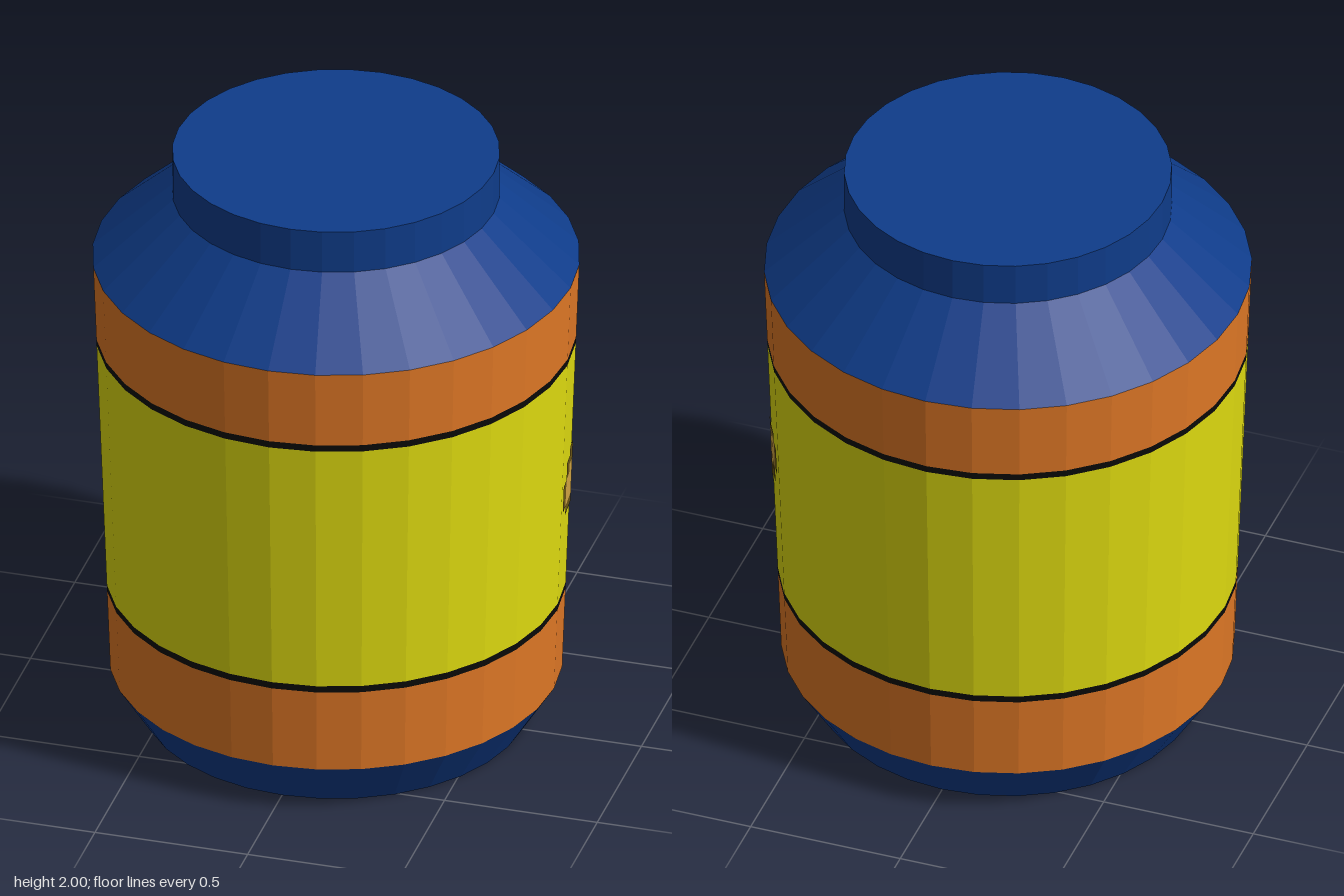
import * as THREE from 'three';

const SIDES = 32;
const STEP = (Math.PI * 2) / SIDES;

function material(name, color) {
  const m = new THREE.MeshStandardMaterial({ color });
  m.name = name;
  return m;
}

// Radius of the slightly flaring wall at a height
const wallRadius = (y) => 0.714 + ((y - 0.165) / (1.625 - 0.165)) * 0.054;

// Point just outside the faceted wall, turned by angle a from +x towards -z
function wallPoint(a, y) {
  const inFacet = (a % STEP) - STEP / 2;
  const r = wallRadius(y) * Math.cos(STEP / 2) / Math.cos(inFacet) + 0.004;
  return [r * Math.cos(a), y, -r * Math.sin(a)];
}

export function createModel() {
  const group = new THREE.Group();
  const blue = material('blue', 0x0f3c8a);
  const orange = material('orange', 0xe07826);
  const yellow = material('yellow', 0xe0dc10);
  const black = material('black', 0x0a0a08);
  const tan = material('tan', 0xd4a644);
  const brown = material('brown', 0x6a5514);

  // Stacked faceted rings: name, bottom y, bottom radius, top y, top radius, material
  const rings = [
    ['base', 0, 0.61, 0.165, 0.714, blue],
    ['lowerBand', 0.165, 0, 0.45, 0, orange],
    ['lowerStripe', 0.45, 0, 0.473, 0, black],
    ['label', 0.473, 0, 1.342, 0, yellow],
    ['upperStripe', 1.342, 0, 1.365, 0, black],
    ['upperBand', 1.365, 0, 1.625, 0, orange],
    ['shoulder', 1.625, 0.768, 1.855, 0.516, blue],
    ['lid', 1.855, 0.516, 2, 0.516, blue],
  ];
  for (const [name, y0, r0, y1, r1, mat] of rings) {
    const geo = new THREE.CylinderGeometry(
      r1 || wallRadius(y1), r0 || wallRadius(y0), y1 - y0, SIDES, 1, true
    ).toNonIndexed();
    geo.computeVertexNormals();
    const mesh = new THREE.Mesh(geo, mat);
    mesh.name = name;
    mesh.position.y = (y0 + y1) / 2;
    group.add(mesh);
  }

  // Closing discs
  for (const [name, y, r, turn] of [['lidTop', 2, 0.516, -1], ['baseBottom', 0, 0.61, 1]]) {
    const disc = new THREE.Mesh(new THREE.CircleGeometry(r, SIDES), blue);
    disc.name = name;
    disc.rotation.x = turn * Math.PI / 2;
    disc.position.y = y;
    group.add(disc);
  }

  // Blocky seed-shaped mark on the label: # is its rim, o its filling
  const pattern = [
    '....####.',
    '...#oooo#',
    '..##oooo#',
    '.##ooooo#',
    '.#ooooo#.',
    '#ooooo##.',
    '#oooo##..',
    '#oooo#...',
    '.####....',
  ];
  const cellAngle = 0.0625, cellHeight = 0.0318, startAngle = 0.006, topY = 1.055;
  const mark = new THREE.Group();
  mark.name = 'mark';
  for (const [name, key, mat] of [['markRim', '#', brown], ['markFill', 'o', tan]]) {
    const pos = [];
    pattern.forEach((row, j) => {
      [...row].forEach((c, i) => {
        if (c !== key) return;
        const a0 = startAngle + i * cellAngle, a1 = a0 + cellAngle;
        const y1 = topY - j * cellHeight, y0 = y1 - cellHeight;
        const p = wallPoint(a0, y0), q = wallPoint(a1, y0);
        const r = wallPoint(a1, y1), s = wallPoint(a0, y1);
        pos.push(...p, ...q, ...r, ...p, ...r, ...s);
      });
    });
    const geo = new THREE.BufferGeometry();
    geo.setAttribute('position', new THREE.Float32BufferAttribute(pos, 3));
    geo.computeVertexNormals();
    const mesh = new THREE.Mesh(geo, mat);
    mesh.name = name;
    mark.add(mesh);
  }
  group.add(mark);
  return group;
}
